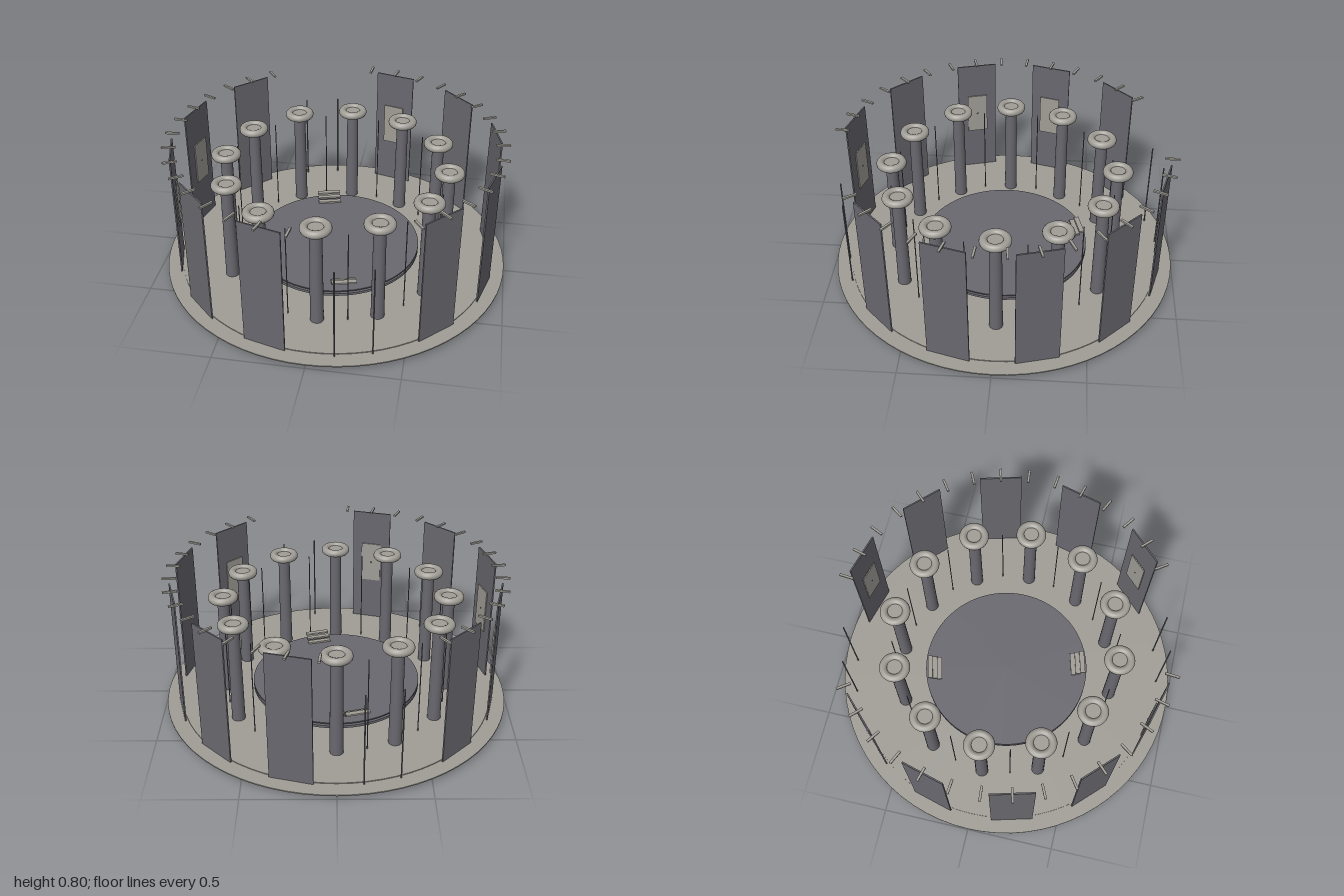
import * as THREE from 'three';

const stone = new THREE.MeshStandardMaterial({ color: 0xa09d96 });
stone.name = 'stone';
const slate = new THREE.MeshStandardMaterial({ color: 0x69686f });
slate.name = 'slate';

const DEG = Math.PI / 180;

export function createModel() {
  const model = new THREE.Group();
  model.name = 'roundHall';

  const add = (name, geometry, material, x, y, z, parent = model) => {
    const mesh = new THREE.Mesh(geometry, material);
    mesh.name = name;
    mesh.position.set(x, y, z);
    parent.add(mesh);
    return mesh;
  };
  // A group turned about the centre, so that its +z points outward at the angle
  const spoke = (name, degrees) => {
    const group = new THREE.Group();
    group.name = name;
    group.rotation.y = degrees * DEG;
    model.add(group);
    return group;
  };
  const disc = (name, radius, bottom, top, material) =>
    add(name, new THREE.CylinderGeometry(radius, radius, top - bottom, 72), material, 0, (bottom + top) / 2, 0);

  // Floor plates and central hub
  disc('hub', 0.18, 0, 0.021, slate);
  disc('floor', 1, 0.02, 0.027, stone);
  disc('raisedFloor', 0.91, 0.027, 0.032, stone);
  disc('lowerPlatform', 0.49, 0.075, 0.09, slate);
  disc('upperPlatform', 0.49, 0.103, 0.11, slate);

  // Columns with ring capitals
  const shaft = new THREE.CylinderGeometry(0.034, 0.038, 0.605, 24);
  const ring = new THREE.TorusGeometry(0.063, 0.023, 14, 36).rotateX(Math.PI / 2);
  const capTop = new THREE.CylinderGeometry(0.05, 0.05, 0.016, 24);
  const rod = new THREE.CylinderGeometry(0.003, 0.003, 0.57, 8);
  for (let i = 0; i < 12; i++) {
    const column = spoke('column', i * 30);
    add('columnShaft', shaft, slate, 0, 0.3325, 0.643, column);
    add('columnRing', ring, stone, 0, 0.638, 0.643, column);
    add('columnTop', capTop, stone, 0, 0.638, 0.643, column);
    // Thin rod between neighbouring columns
    add('rod', rod, slate, 0, 0.315, 0.643, spoke('rodSpoke', i * 30 + 15));
  }

  // Wall panels, with two open doorways
  const panel = new THREE.BoxGeometry(0.242, 0.755, 0.008);
  const bar = new THREE.BoxGeometry(0.013, 0.01, 0.08);
  const screen = new THREE.BoxGeometry(0.125, 0.26, 0.006);
  const knob = new THREE.BoxGeometry(0.008, 0.008, 0.004);
  const post = new THREE.CylinderGeometry(0.004, 0.004, 0.55, 8);
  const screened = [45, 165, 255, 285, 345];
  for (let angle = 15; angle < 360; angle += 30) {
    if (angle === 15 || angle === 195) {
      for (const side of [-6.3, 6.3]) {
        add('doorPost', post, slate, 0, 0.302, 0.925, spoke('doorPostSpoke', angle + side));
      }
      continue;
    }
    const wall = spoke('wall', angle);
    add('wallPanel', panel, slate, 0, 0.4085, 0.917, wall);
    if (screened.includes(angle)) {
      add('wallScreen', screen, stone, 0, 0.44, 0.906, wall);
      add('screenKnob', knob, slate, 0, 0.44, 0.902, wall);
    }
    // Radial bars above the panel
    for (const offset of [-10, 0, 10]) {
      add('topBar', bar, stone, 0, 0.797, 0.928, spoke('topBarSpoke', angle + offset));
    }
  }

  // Two flights of floating treads, rising outward
  const tread = new THREE.BoxGeometry(0.14, 0.01, 0.029);
  for (const angle of [15, 195]) {
    const stairs = spoke('stairs', angle);
    for (let i = 0; i < 7; i++) {
      add('tread', tread, stone, 0, 0.148 - i * 0.0155, 0.462 - i * 0.0275, stairs);
    }
  }

  return model;
}
